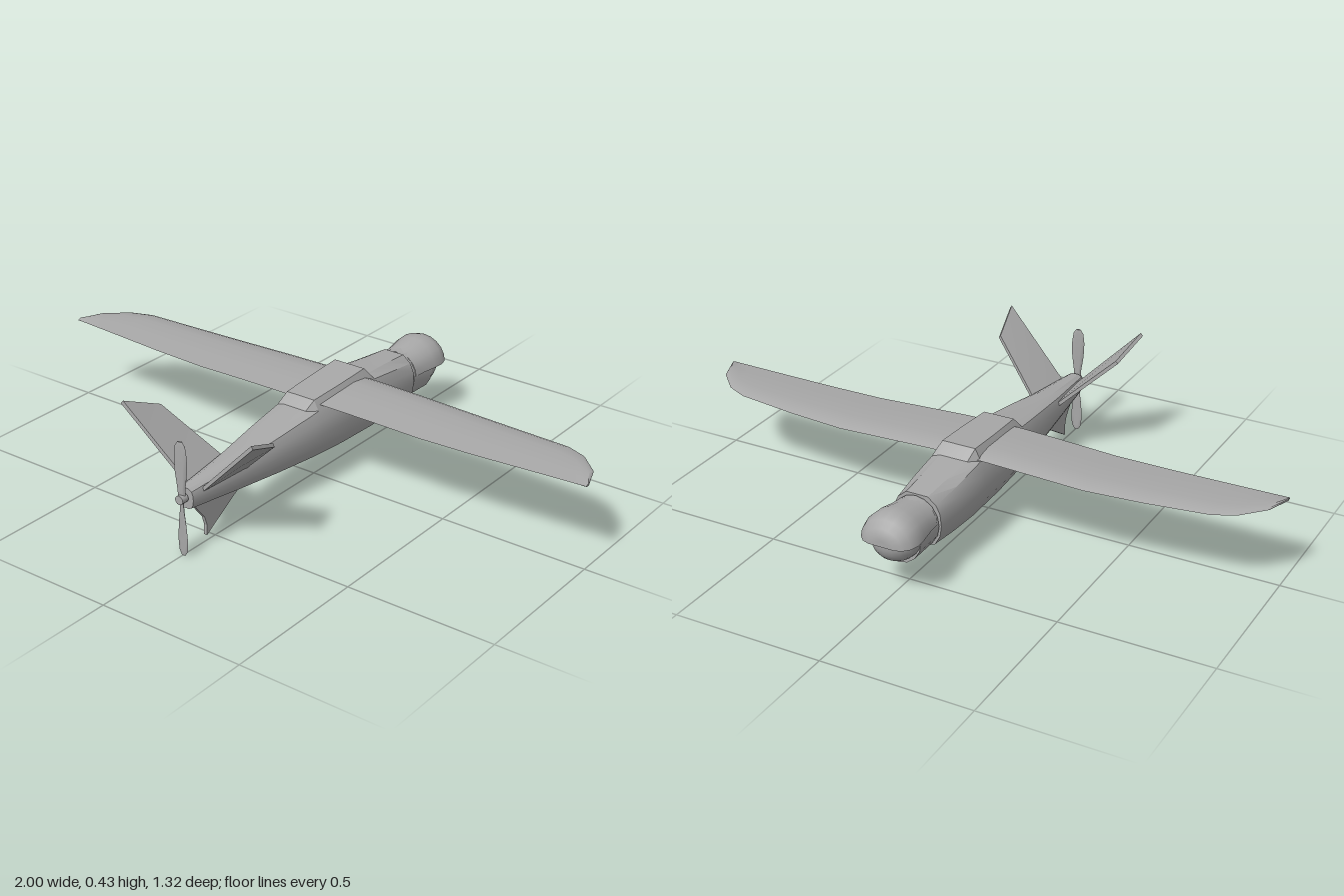
import * as THREE from 'three';
import { toCreasedNormals } from 'three/addons/utils/BufferGeometryUtils.js';

const grey = new THREE.MeshStandardMaterial({ color: 0xa8a8a8 });
grey.name = 'matte grey';

const V = (x, y, z) => new THREE.Vector3(x, y, z);

// Skins a list of closed rings (counter-clockwise about the direction of travel) and caps both ends.
function loft(rings, crease = 0.6) {
  const pos = [];
  const tri = (a, b, c) => [a, b, c].forEach(p => pos.push(p.x, p.y, p.z));
  const n = rings[0].length;
  const mid = r => r.reduce((s, p) => s.add(p), V(0, 0, 0)).divideScalar(n);
  const first = rings[0], last = rings[rings.length - 1];
  const c0 = mid(first), c1 = mid(last);
  for (let j = 0; j < n; j++) {
    const k = (j + 1) % n;
    for (let i = 0; i < rings.length - 1; i++) {
      const r = rings[i], s = rings[i + 1];
      tri(r[j], r[k], s[k]);
      tri(r[j], s[k], s[j]);
    }
    tri(c0, first[k], first[j]);
    tri(c1, last[j], last[k]);
  }
  const g = new THREE.BufferGeometry();
  g.setAttribute('position', new THREE.Float32BufferAttribute(pos, 3));
  return toCreasedNormals(g, crease);
}

// Flat plate of even thickness from an outline.
function plate(pts, thickness) {
  const n = pts[1].clone().sub(pts[0]).cross(pts[2].clone().sub(pts[1])).normalize();
  const shift = d => pts.map(p => p.clone().addScaledVector(n, d));
  return loft([shift(-thickness / 2), shift(thickness / 2)], 0.3);
}

// Ring in the xy plane; the lower half is a rounded box.
function hullRing(z, w, bottom, shoulder, top, crown) {
  const mid = bottom + (shoulder - bottom) * 0.55;
  const half = [
    [0.35 * w, bottom], [0.72 * w, bottom + (mid - bottom) * 0.16],
    [0.94 * w, bottom + (mid - bottom) * 0.55], [w, mid],
    [0.95 * w, mid + (shoulder - mid) * 0.6], [0.8 * w, shoulder], [crown * w, top],
  ];
  return [...half.map(([x, y]) => V(x, y, z)),
    ...half.slice().reverse().map(([x, y]) => V(-x, y, z))];
}

function ellipseRing(z, w, h, y, n = 16) {
  return Array.from({ length: n }, (_, i) => {
    const a = (i / n) * Math.PI * 2;
    return V(w * Math.cos(a), y + h * Math.sin(a), z);
  });
}

export function createModel() {
  const model = new THREE.Group();
  model.name = 'droneAircraft';
  const add = (name, geo, parent = model) => {
    const m = new THREE.Mesh(geo, grey);
    m.name = name;
    parent.add(m);
    return m;
  };

  // Fuselage with the raised wing saddle: z, half width, bottom, shoulder, top, crown
  add('fuselage', loft([
    [-0.448, 0.083, 0.104, 0.25, 0.274, 0.45],
    [-0.34, 0.092, 0.097, 0.265, 0.283, 0.45],
    [-0.225, 0.097, 0.093, 0.28, 0.291, 0.5],
    [-0.192, 0.097, 0.094, 0.285, 0.324, 0.6],
    [-0.06, 0.096, 0.097, 0.285, 0.317, 0.6],
    [0.07, 0.089, 0.104, 0.277, 0.31, 0.6],
    [0.1, 0.086, 0.106, 0.272, 0.28, 0.5],
    [0.25, 0.072, 0.118, 0.255, 0.262, 0.45],
    [0.41, 0.053, 0.133, 0.235, 0.245, 0.4],
    [0.63, 0.03, 0.157, 0.218, 0.225, 0.4],
  ].map(s => hullRing(...s)), 0.5));

  // Sensor head: recessed joint, neck, hood and ball
  const head = new THREE.Group();
  head.name = 'sensorHead';
  model.add(head);
  add('neckJoint', loft([-0.47, -0.44].map(z => ellipseRing(z, 0.073, 0.078, 0.187))), head);
  add('neck', loft([[-0.563, 0.08, 0.088], [-0.455, 0.08, 0.086]]
    .map(([z, w, h]) => ellipseRing(z, w, h, 0.187))), head);

  const hood = [
    [-0.658, 0.045, 0.032], [-0.65, 0.067, 0.057], [-0.63, 0.086, 0.077],
    [-0.6, 0.094, 0.088], [-0.56, 0.091, 0.087], [-0.51, 0.083, 0.077], [-0.465, 0.08, 0.072],
  ].map(([z, w, h]) => Array.from({ length: 11 }, (_, i) => {
    const a = (i / 10) * Math.PI;
    return V(w * Math.cos(a), 0.199 + h * Math.sin(a), z);
  }));
  add('hood', loft(hood), head);
  add('sensorBall', new THREE.SphereGeometry(0.081, 20, 14), head).position.set(0, 0.197, -0.566);

  // One-piece wing: x, leading z, trailing z, height, thickness
  const wingHalf = [
    [0.1, -0.2, 0.055, 0.292, 0.02], [0.25, -0.202, 0.05, 0.288, 0.02],
    [0.43, -0.203, 0.045, 0.282, 0.02], [0.62, -0.19, 0.04, 0.284, 0.018],
    [0.83, -0.17, 0.033, 0.29, 0.015], [0.9, -0.14, 0.031, 0.292, 0.013],
    [0.97, -0.07, 0.029, 0.294, 0.01], [1, 0.01, 0.028, 0.295, 0.008],
  ];
  const wingSections = [...wingHalf.map(([x, ...s]) => [-x, ...s]).reverse(), ...wingHalf];
  add('wing', loft(wingSections.map(([x, le, te, y, t]) => {
    const at = (f, dy) => V(x, y + dy * t, le + (te - le) * f);
    return [at(0, -0.1), at(0.08, 0.3), at(0.3, 0.55), at(0.65, 0.35), at(1, 0),
      at(0.95, -0.2), at(0.4, -0.45), at(0.08, -0.4)];
  }), 0.7));

  // V tail
  for (const s of [1, -1]) {
    add(s > 0 ? 'leftTailFin' : 'rightTailFin', plate([
      V(s * 0.025, 0.195, 0.39), V(s * 0.2, 0.385, 0.475), V(s * 0.22, 0.375, 0.485),
      V(s * 0.248, 0.43, 0.62), V(s * 0.025, 0.205, 0.585),
    ].filter((_, i) => i !== 1), 0.012));
  }

  // Lower fin
  add('lowerFin', plate([V(0, 0.14, 0.36), V(0, 0.027, 0.545), V(0, 0.06, 0.543),
    V(0, 0.092, 0.553), V(0, 0.165, 0.61)], 0.012));

  // Slim pod under the belly
  add('bellyPod', loft([
    [-0.42, 0.01, 0.012, 0.1], [-0.405, 0.018, 0.025, 0.1], [-0.34, 0.022, 0.035, 0.1],
    [-0.275, 0.018, 0.03, 0.1], [-0.25, 0.008, 0.012, 0.1],
  ].map(s => ellipseRing(...s, 12)), 0.8));

  // Pusher propeller
  const propeller = new THREE.Group();
  propeller.name = 'propeller';
  propeller.position.set(0, 0.195, 0.647);
  model.add(propeller);
  const hub = add('hub', new THREE.CylinderGeometry(0.015, 0.015, 0.026, 12), propeller);
  hub.rotation.x = Math.PI / 2;
  const shaft = add('shaft', new THREE.CylinderGeometry(0.01, 0.01, 0.04, 10), propeller);
  shaft.rotation.x = Math.PI / 2;
  shaft.position.z = -0.01;
  const blade = loft([
    [0, 0.01, 0.5], [0.04, 0.013, 0.4], [0.09, 0.02, 0.25],
    [0.14, 0.022, 0.15], [0.175, 0.018, 0.1], [0.19, 0.008, 0.1],
  ].map(([y, w, twist]) => Array.from({ length: 10 }, (_, i) => {
    const a = (i / 10) * Math.PI * 2;
    return V(w * Math.cos(a), 0, -0.004 * Math.sin(a))
      .applyAxisAngle(V(0, 1, 0), twist).add(V(0, y, 0));
  })), 0.9);
  for (const i of [0, 1]) add('blade', blade, propeller).rotation.z = i * Math.PI;

  return model;
}
